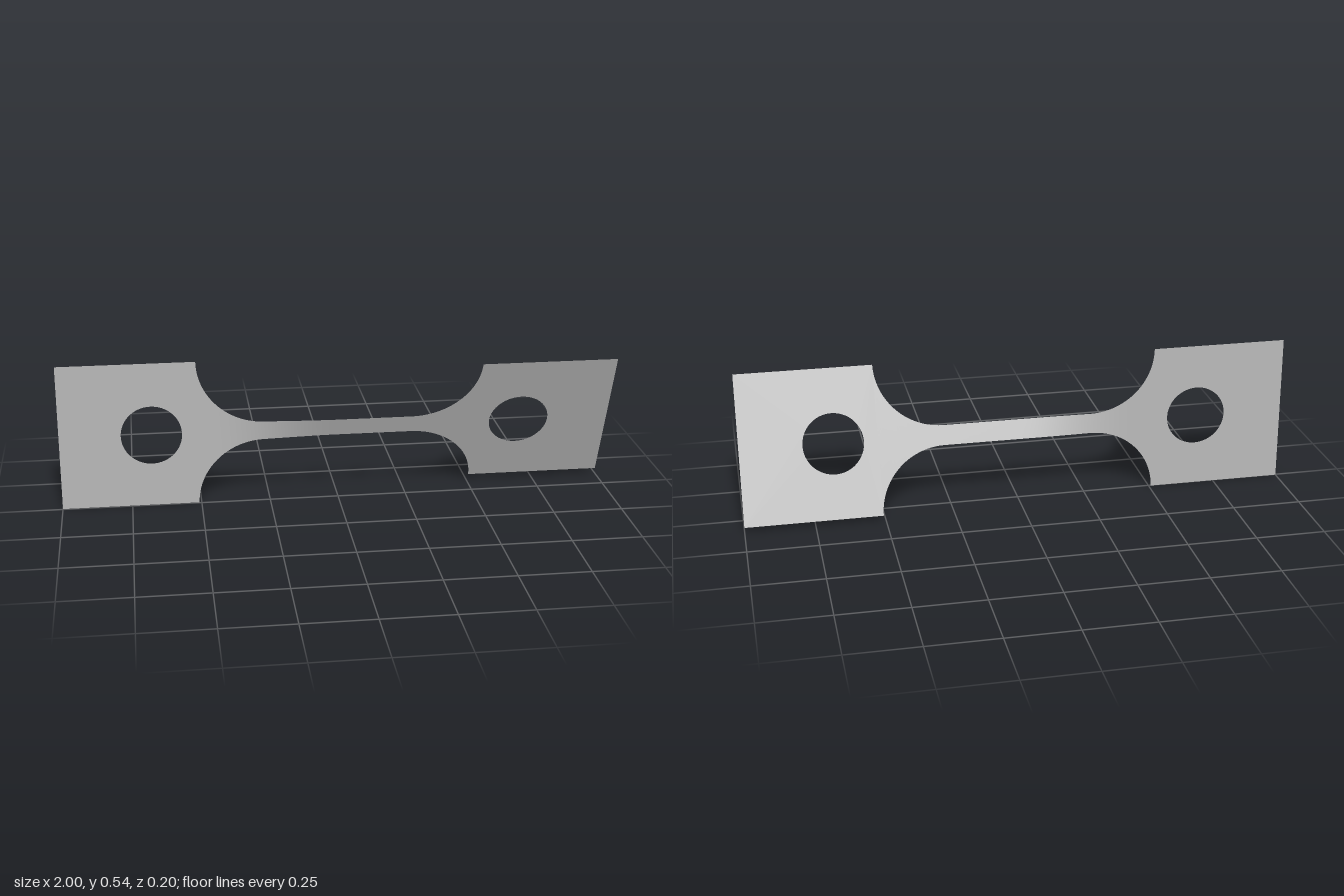
import * as THREE from 'three';

const HALF = 0.27;      // half height of the end plates
const FILLET = 0.234;   // fillet radius vertically
const INNER = 0.27;     // where the straight neck ends
const OUTER = 0.508;    // where the plates begin
const MIDDLE = 0.272;   // height of the long axis

// Twist about the long axis, easing in along the left half of the neck
function twist(x) {
  const t = THREE.MathUtils.smoothstep(x, -0.46, 0);
  return THREE.MathUtils.degToRad(0.8 + 21.3 * t);
}

function applyTwist(geometry) {
  const p = geometry.attributes.position;
  for (let i = 0; i < p.count; i++) {
    const a = twist(p.getX(i)), h = p.getY(i);
    p.setXYZ(i, p.getX(i), h * Math.cos(a), h * Math.sin(a));
  }
  geometry.computeVertexNormals();
  return geometry;
}

// Flat end plate with a round hole
function endPlate(x0, x1, holeX, radius) {
  const shape = new THREE.Shape();
  shape.moveTo(x0, -HALF);
  shape.lineTo(x1, -HALF);
  shape.lineTo(x1, HALF);
  shape.lineTo(x0, HALF);
  shape.closePath();
  const hole = new THREE.Path();
  hole.absarc(holeX, 0, radius, 0, Math.PI * 2, true);
  shape.holes.push(hole);
  return applyTwist(new THREE.ShapeGeometry(shape, 32));
}

// Neck: columns follow the left fillet, the straight bar and the right fillet
function neckGeometry() {
  const steps = 24, rows = 8, columns = [];
  for (let i = 0; i <= steps; i++) {
    const a = (i / steps) * Math.PI / 2;
    columns.push([-INNER - (OUTER - INNER) * Math.cos(a), HALF - FILLET * Math.sin(a)]);
  }
  for (let i = 1; i < steps; i++) {
    columns.push([-INNER + 2 * INNER * i / steps, HALF - FILLET]);
  }
  for (let i = steps; i >= 0; i--) columns.push([-columns[i][0], columns[i][1]]);

  const geometry = new THREE.PlaneGeometry(1, 2, columns.length - 1, rows);
  const p = geometry.attributes.position;
  for (let i = 0; i < p.count; i++) {
    const [x, h] = columns[i % columns.length];
    p.setXY(i, x, p.getY(i) * h);
  }
  return applyTwist(geometry);
}

export function createModel() {
  const model = new THREE.Group();
  model.name = 'twistedLink';
  const steel = new THREE.MeshStandardMaterial({ color: 0xb8b8b8, side: THREE.DoubleSide });
  steel.name = 'greySteel';

  const add = (name, geometry) => {
    const mesh = new THREE.Mesh(geometry, steel);
    mesh.name = name;
    mesh.position.y = MIDDLE;
    model.add(mesh);
  };
  add('rightEndPlate', endPlate(-1, -OUTER, -0.672, 0.109));
  add('twistedNeck', neckGeometry());
  add('leftEndPlate', endPlate(OUTER, 1, 0.667, 0.109));
  return model;
}
